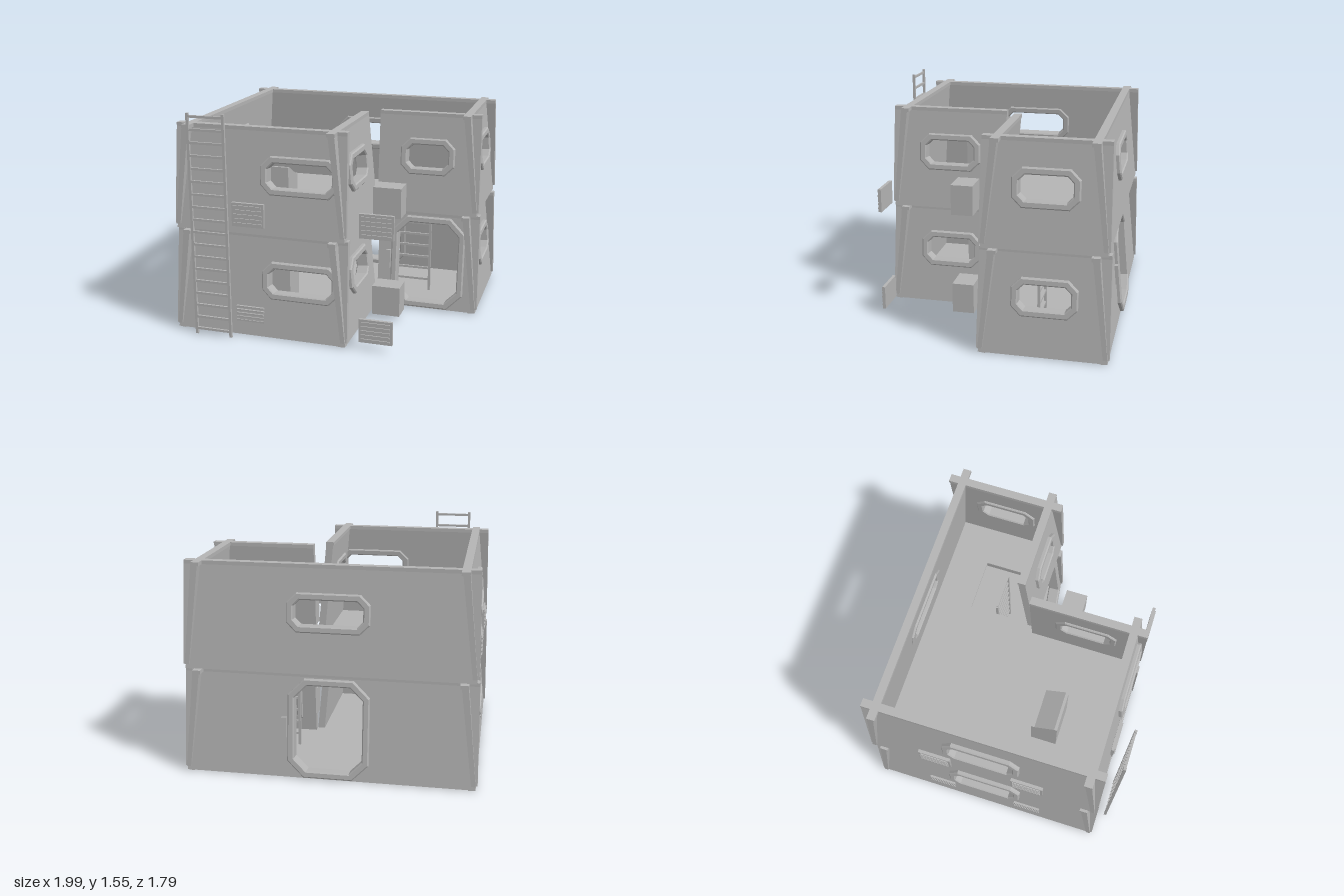
import * as THREE from 'three';

const H = 0.72;      // storey height
const TAPER = 0.07;  // how far a wall leans in over one storey
const THICK = 0.05;  // wall thickness
const TILT = Math.atan(TAPER / H);

export function createModel() {
  const model = new THREE.Group();
  model.name = 'twoStoreyHabitat';
  const grey = new THREE.MeshStandardMaterial({ color: 0xb4b4b4, side: THREE.DoubleSide });
  grey.name = 'grey';

  const add = (parent, name, geometry, x = 0, y = 0, z = 0) => {
    const mesh = new THREE.Mesh(geometry, grey);
    mesh.name = name;
    mesh.position.set(x, y, z);
    parent.add(mesh);
    return mesh;
  };
  const box = (parent, name, w, h, d, x, y, z) =>
    add(parent, name, new THREE.BoxGeometry(w, h, d), x, y, z);
  const group = (parent, name, x = 0, y = 0, z = 0) => {
    const g = new THREE.Group();
    g.name = name;
    g.position.set(x, y, z);
    parent.add(g);
    return g;
  };
  const points = (list) => list.map(([x, y]) => new THREE.Vector2(x, y));

  // rectangle with cut corners
  const octagon = (cx, cy, w, h, c) => points([
    [-w / 2 + c, -h / 2], [w / 2 - c, -h / 2], [w / 2, -h / 2 + c], [w / 2, h / 2 - c],
    [w / 2 - c, h / 2], [-w / 2 + c, h / 2], [-w / 2, h / 2 - c], [-w / 2, -h / 2 + c],
  ].map(([x, y]) => [x + cx, y + cy]));

  // corner post: upright outside, leaning with the wall inside
  function postGeometry(edge, side) {
    const g = new THREE.BoxGeometry(1, 1, 1).toNonIndexed();
    const p = g.attributes.position;
    for (let i = 0; i < p.count; i++) {
      const t = p.getY(i) + 0.5;
      const width = 0.03 + 0.015 * t;
      const centre = edge - side * (TAPER * t + width / 2);
      const z = p.getZ(i) > 0 ? 0.012 * (1 - t) : -TAPER * t - 0.02;
      p.setXYZ(i, centre + p.getX(i) * width, 0.03 + (H - 0.03) * t, z);
    }
    g.computeVertexNormals();
    return g;
  }

  // slatted vent; without a panel only the slats stand proud
  function vent(parent, x, y, z, panel) {
    const g = group(parent, 'vent', x, y, z);
    if (panel) box(g, 'ventPanel', 0.23, 0.165, 0.022, 0, 0, -0.008);
    const step = panel ? 0.03 : 0.025;
    for (let i = -2; i <= 2; i++) box(g, 'ventSlat', 0.2, 0.012, 0.018, 0, i * step, 0.002);
  }

  function ladder(name, width, height, step, first, x, z) {
    const g = group(model, name, x, 0, z);
    for (const s of [-1, 1])
      box(g, 'ladderRail', 0.018, height, 0.018, s * (width / 2 - 0.009), height / 2, 0);
    for (let y = first; y < height; y += step) box(g, 'ladderRung', width - 0.02, 0.016, 0.014, 0, y, 0);
  }

  // one leaning wall with its opening, frame, rim and posts; x runs rightwards seen from outside
  function wall(parent, { name, turn, u0, u1, d, post0, post1, cx, w, door, vents = [] }, lower) {
    const g = group(parent, name + 'Wall');
    g.rotation.y = turn;
    const face = group(g, name + 'Face', 0, 0, d);
    const leaning = group(face, name + 'Panel');
    leaning.rotation.x = -TILT;
    const L = Math.hypot(H, TAPER);
    const h = door ? 0.68 : 0.26, cy = door ? 0.35 : 0.41, cut = door ? 0.11 : 0.065;
    const opening = octagon(cx, cy, w - 0.075, h - 0.075, cut - 0.02);
    const shape = new THREE.Shape(points([
      [u0, 0], [u1, 0], [u1 - (post1 ? TAPER : 0), L], [u0 + (post0 ? TAPER : 0), L]]));
    shape.holes.push(new THREE.Path(opening));
    add(leaning, 'panel', new THREE.ExtrudeGeometry(shape, { depth: THICK, bevelEnabled: false }), 0, 0, -THICK);

    const ring = new THREE.Shape(octagon(cx, cy, w - 0.016, h - 0.016, cut - 0.004));
    ring.holes.push(new THREE.Path(opening));
    add(leaning, door ? 'doorFrame' : 'windowFrame', new THREE.ExtrudeGeometry(ring, {
      depth: 0.075, bevelEnabled: true, bevelSegments: 1, bevelSize: 0.008, bevelThickness: 0.008,
    }), 0, 0, -0.055);
    if (door) box(leaning, 'doorControl', 0.035, 0.14, 0.03, cx - w / 2 - 0.025, 0.35, 0.01);

    // rim beam crossing its neighbours at the corners
    box(face, 'rimBeam', u1 - u0, 0.025, THICK + 0.006, (u0 + u1) / 2, H - 0.0125, -TAPER - THICK / 2);
    if (post0) add(face, 'cornerPost', postGeometry(u0, -1));
    if (post1) add(face, 'cornerPost', postGeometry(u1, 1));
    for (const u of vents) vent(face, u, lower ? 0.15 : 0.13, lower ? -0.016 : 0.003, !lower);
  }

  // sloped desk seen from the side, extruded along x
  function consoleDesk(parent) {
    const profile = new THREE.Shape(points([
      [0.21, 0], [0.395, 0], [0.395, 0.36], [0.375, 0.36], [0.235, 0.28], [0.21, 0.28]]));
    const g = new THREE.ExtrudeGeometry(profile, { depth: 0.28, bevelEnabled: false });
    g.rotateY(-Math.PI / 2); // profile x becomes z, depth runs to -x
    add(parent, 'consoleDesk', g, -0.3, 0.01, 0);
  }

  function storey(name, y, grow, lower) {
    const g = group(model, name, 0, y, 0);
    const X = 0.965 + grow, F = 0.8 + grow, B = 0.845 + grow;   // outer extents
    const NX = 0.235 + grow / 2, NZ = -0.02 + grow;             // inner corner
    const q = Math.PI / 2;
    const walls = [
      { name: 'front', turn: 0, u0: -X, u1: NX, d: F, post0: true, post1: true, cx: -0.08, w: 0.54, vents: [-0.44] },
      { name: 'notchSide', turn: q, u0: -F, u1: -NZ, d: NX, post0: true, post1: false, cx: -0.385, w: 0.44 },
      { name: 'notchFront', turn: 0, u0: NX, u1: X, d: NZ, post0: false, post1: true,
        cx: lower ? 0.615 : 0.595, w: lower ? 0.54 : 0.39, door: lower },
      { name: 'leftSide', turn: q, u0: -NZ, u1: B, d: X, post0: true, post1: true, cx: 0.44, w: 0.44 },
      { name: 'back', turn: 2 * q, u0: -X, u1: X, d: B, post0: true, post1: true, cx: 0, w: 0.55, door: lower },
      { name: 'rightSide', turn: -q, u0: -B, u1: F, d: X, post0: true, post1: true, cx: -0.03, w: 0.54, vents: [-0.37, 0.3] },
    ];
    for (const spec of walls) wall(g, spec, lower);

    // L-shaped floor, with a hatch upstairs
    const e = 0.004;
    const floor = new THREE.Shape(points([
      [-X + e, -F + e], [NX - e, -F + e], [NX - e, -NZ + e], [X - e, -NZ + e], [X - e, B - e], [-X + e, B - e]]));
    if (!lower) floor.holes.push(new THREE.Path(points([[0.25, 0.15], [0.63, 0.15], [0.63, 0.52], [0.25, 0.52]])));
    const slab = new THREE.ExtrudeGeometry(floor, { depth: 0.012, bevelEnabled: false });
    slab.rotateX(-q);
    add(g, 'floor', slab);

    consoleDesk(g);
    // free-standing service box and vent beside the notch
    box(g, 'serviceBox', 0.2, 0.215, 0.155, 0.39, 0.147, 0.2275);
    vent(g, 0.45, 0.13, 0.803, true);
  }

  storey('lowerStorey', 0, 0.017, true);
  storey('upperStorey', 0.73, 0, false);

  ladder('outsideLadder', 0.27, 1.55, 0.0875, 0.04, -0.68, 0.89);
  ladder('insideLadder', 0.28, 0.73, 0.09, 0.1, 0.44, -0.335);
  return model;
}
